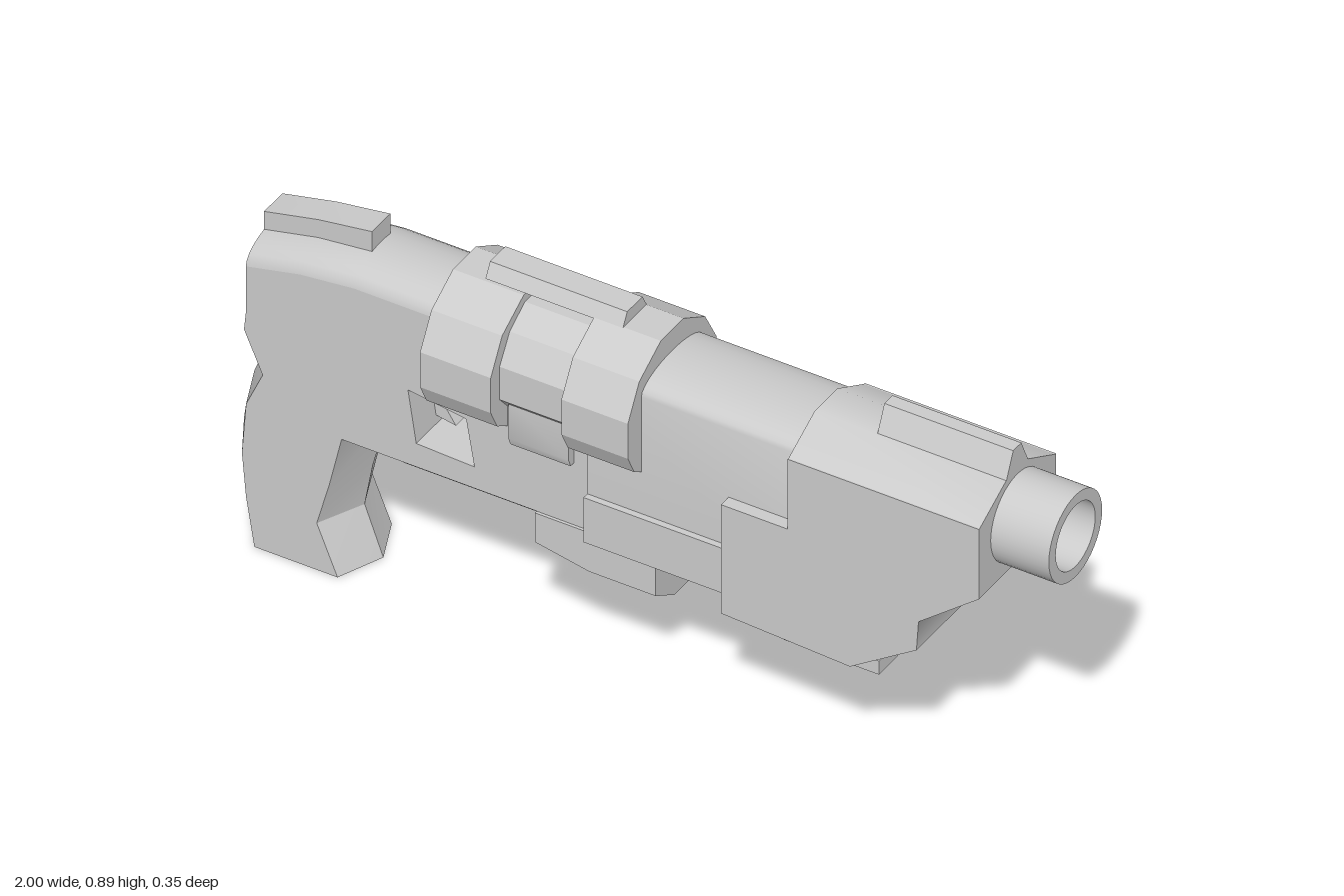
import * as THREE from 'three';
import { toCreasedNormals } from 'three/addons/utils/BufferGeometryUtils.js';

const material = new THREE.MeshStandardMaterial({ color: 0xcccccc });

export function createModel() {
  const group = new THREE.Group();

  function add(name, geometry, crease = 0.5) {
    const mesh = new THREE.Mesh(toCreasedNormals(geometry, crease), material);
    mesh.name = name;
    group.add(mesh);
    return mesh;
  }

  // Side outline in x and y, given thickness on both sides of z = 0
  function plate(outline, half, hole) {
    const shape = new THREE.Shape(outline.map(([x, y]) => new THREE.Vector2(x, y)));
    if (hole) shape.holes.push(new THREE.Path(hole.map(([x, y]) => new THREE.Vector2(x, y))));
    const g = new THREE.ExtrudeGeometry(shape, { depth: 2 * half, bevelEnabled: false });
    return g.translate(0, 0, -half);
  }

  // Skin over matching rings of points, with flat end caps
  function loft(rings) {
    const pos = [];
    const tri = (a, b, c) => pos.push(...a, ...b, ...c);
    const n = rings[0].length;
    for (let i = 0; i < rings.length - 1; i++) {
      for (let j = 0; j < n; j++) {
        const k = (j + 1) % n;
        tri(rings[i][j], rings[i][k], rings[i + 1][k]);
        tri(rings[i][j], rings[i + 1][k], rings[i + 1][j]);
      }
    }
    const first = rings[0], last = rings[rings.length - 1];
    for (let j = 1; j < n - 1; j++) {
      tri(first[0], first[j + 1], first[j]);
      tri(last[0], last[j], last[j + 1]);
    }
    const g = new THREE.BufferGeometry();
    g.setAttribute('position', new THREE.Float32BufferAttribute(pos, 3));
    return g;
  }

  // Mirrored cross-section at x from [half width, y] pairs, bottom to top
  const section = (x, half) => [
    ...half.map(([w, y]) => [x, y, -w]),
    ...[...half].reverse().map(([w, y]) => [x, y, w]),
  ];
  const prism = (half, x0, x1) => loft([section(x0, half), section(x1, half)]);

  // Half of a rounded crown or belly, height h (negative for a belly)
  const arc = (w, y, h) => {
    const pts = [];
    for (let i = 0; i <= 6; i++) {
      const a = (i / 6) * 1.45;
      pts.push([w * Math.cos(a), y + h * Math.sin(a)]);
    }
    return h > 0 ? pts : pts.reverse();
  };

  // Rear body with trigger opening
  add('rearBody', plate(
    [[-0.93, 0.58], [-0.85, 0.44], [-0.7, 0.36], [-0.09, 0.36], [-0.09, 0.76], [-0.67, 0.76], [-0.8, 0.745], [-0.93, 0.715]],
    0.108,
    [[-0.54, 0.55], [-0.52, 0.42], [-0.38, 0.415], [-0.4, 0.53]]));
  add('rearCrown', loft([[-0.93, 0.715], [-0.8, 0.745], [-0.67, 0.76], [-0.09, 0.76]]
    .map(([x, y]) => section(x, arc(0.108, y, 0.052)))));
  add('rearBelly', prism(arc(0.1, 0.361, -0.041), -0.56, -0.09));
  add('trigger', plate([[-0.54, 0.52], [-0.5, 0.54], [-0.515, 0.49], [-0.475, 0.43], [-0.53, 0.44]], 0.025));

  // Rear sight block following the sloping crown
  add('rearSight', loft([[-0.93, 0.81], [-0.8, 0.84], [-0.67, 0.86]]
    .map(([x, y]) => section(x, [[0.036, y - 0.08], [0.036, y]]))));

  // Grip: hexagonal levels of y, rear ridge, rear side, front side, front ridge
  add('grip', loft([
    [0, -0.97, -0.91, -0.71, -0.665],
    [0.12, -0.99, -0.93, -0.76, -0.71],
    [0.23, -1, -0.94, -0.73, -0.69],
    [0.36, -0.975, -0.93, -0.70, -0.655],
    [0.45, -0.94, -0.89, -0.65, -0.62],
    [0.55, -0.965, -0.935, -0.65, -0.62],
    [0.6, -0.97, -0.93, -0.65, -0.62],
  ].map(([y, rear, sideRear, sideFront, front]) => [
    [front, y, 0], [sideFront, y, -0.107], [sideRear, y, -0.107],
    [rear, y, 0], [sideRear, y, 0.107], [sideFront, y, 0.107],
  ])), 0.35);

  // Middle body
  add('middleBody', prism([[0.122, 0.4], [0.122, 0.765], ...arc(0.122, 0.765, 0.042).slice(1)], -0.1, 0.42));
  add('middleLowerBody', plate([[-0.1, 0.35], [0.26, 0.35], [0.26, 0.465], [-0.1, 0.465]], 0.137));
  add('middleBelly', prism(arc(0.125, 0.351, -0.034), -0.1, 0.26));

  // Front shroud
  add('frontShroud', plate(
    [[0.24, 0.31], [0.55, 0.295], [0.71, 0.4], [0.715, 0.475], [0.86, 0.59], [0.86, 0.77],
      [0.4, 0.77], [0.4, 0.59], [0.24, 0.59]], 0.152), 0.9);
  add('shroudCrown', prism([[0.152, 0.768], [0.045, 0.825]], 0.4, 0.86));
  add('frontSight', prism([[0.045, 0.82], [0.016, 0.885]], 0.55, 0.86));

  // Muzzle tube with an open bore
  const muzzle = add('muzzle', new THREE.LatheGeometry(
    [[0.105, 0], [0.105, 0.16], [0.078, 0.16], [0.078, 0.03], [0, 0.03]]
      .map(([r, h]) => new THREE.Vector2(r, h)), 40));
  // Reverse the lathe winding so the skin faces outward along the rising profile
  const isOutward = (() => {
    const p = muzzle.geometry.attributes.position;
    const a = new THREE.Vector3().fromBufferAttribute(p, 0);
    const b = new THREE.Vector3().fromBufferAttribute(p, 1);
    const c = new THREE.Vector3().fromBufferAttribute(p, 2);
    const normal = b.clone().sub(a).cross(c.clone().sub(a));
    return normal.x * a.x + normal.z * a.z > 0;
  })();
  if (!isOutward) {
    muzzle.material = material.clone();
    muzzle.material.side = THREE.DoubleSide;
  }
  muzzle.rotation.z = -Math.PI / 2;
  muzzle.position.set(0.84, 0.71, 0);

  // Clamp rings around the body, with a narrower band between
  for (const [name, x0, x1, dy] of [['rearClamp', -0.47, -0.3, -0.012], ['frontClamp', -0.13, 0.03, 0]]) {
    add(name, prism([[0.11, 0.565], [0.15, 0.59], [0.175, 0.64], [0.175, 0.73], [0.13, 0.81], [0.045, 0.86]]
      .map(([w, y]) => [w, y + dy]), x0, x1), 0.2);
  }
  add('clampBand', prism([[0.11, 0.605], [0.14, 0.64], [0.14, 0.725], [0.1, 0.79], [0.04, 0.828]], -0.31, -0.12), 0.2);
  add('clampTab', prism([[0.122, 0.52], [0.13, 0.54], [0.13, 0.64]], -0.285, -0.14));
  add('topRail', prism([[0.048, 0.857], [0.03, 0.89]], -0.39, -0.06));
  add('railFoot', prism([[0.035, 0.82], [0.035, 0.86]], -0.39, -0.3));

  // Underslung pod and T-shaped mount
  add('lowerPod', loft([[-0.23, 0.24], [-0.1, 0.215], [0.06, 0.215]]
    .map(([x, y]) => section(x, [[0.04, y], [0.115, y + 0.045], [0.115, 0.36]]))), 0.2);
  add('mountStem', prism([[0.018, 0.22], [0.018, 0.31]], 0.32, 0.55));
  add('mountFoot', prism([[0.037, 0.2], [0.037, 0.235]], 0.32, 0.55));

  return group;
}
